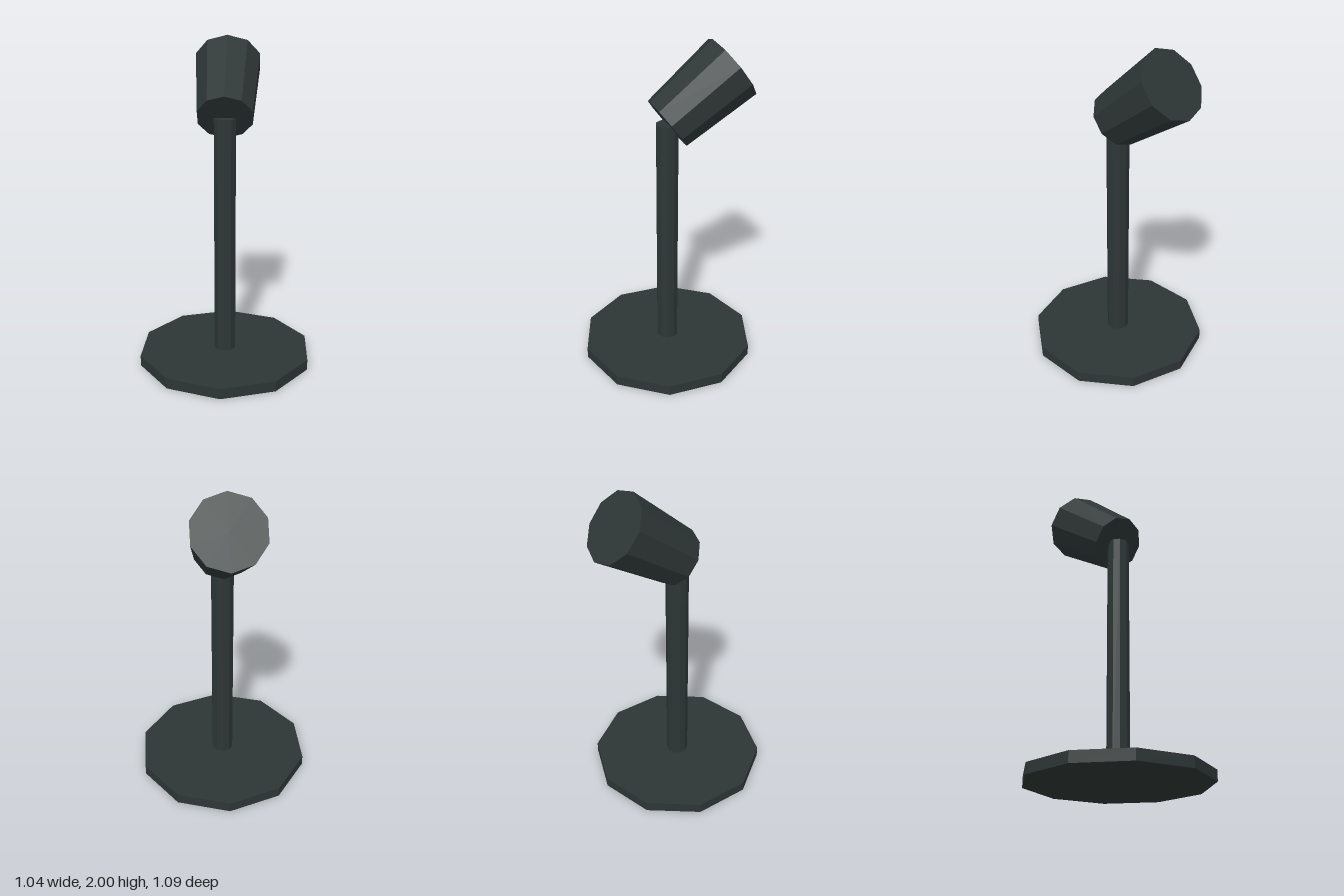
import * as THREE from 'three';

const SIDES = 10;

export function createModel() {
  const group = new THREE.Group();
  const darkSlate = new THREE.MeshStandardMaterial({ color: 0x2d3635, flatShading: true });
  darkSlate.name = 'darkSlate';

  // Ten-sided prism running between two points, with a corner facing the front
  function prism(name, bottomRadius, topRadius, from, to) {
    const axis = new THREE.Vector3().subVectors(to, from);
    const mesh = new THREE.Mesh(
      new THREE.CylinderGeometry(topRadius, bottomRadius, axis.length(), SIDES), darkSlate);
    mesh.name = name;
    mesh.position.addVectors(from, to).multiplyScalar(0.5);
    mesh.rotation.x = Math.atan2(axis.z, axis.y);
    group.add(mesh);
  }
  const point = (y, z) => new THREE.Vector3(0, y, z);

  // Flat foot, upright post, and a flared head tilted backwards
  prism('base', 0.545, 0.545, point(0, 0), point(0.065, 0));
  prism('post', 0.068, 0.068, point(0.03, 0), point(1.535, 0));
  prism('lampHead', 0.172, 0.21, point(1.5375, 0), point(1.8325, -0.395));

  return group;
}
